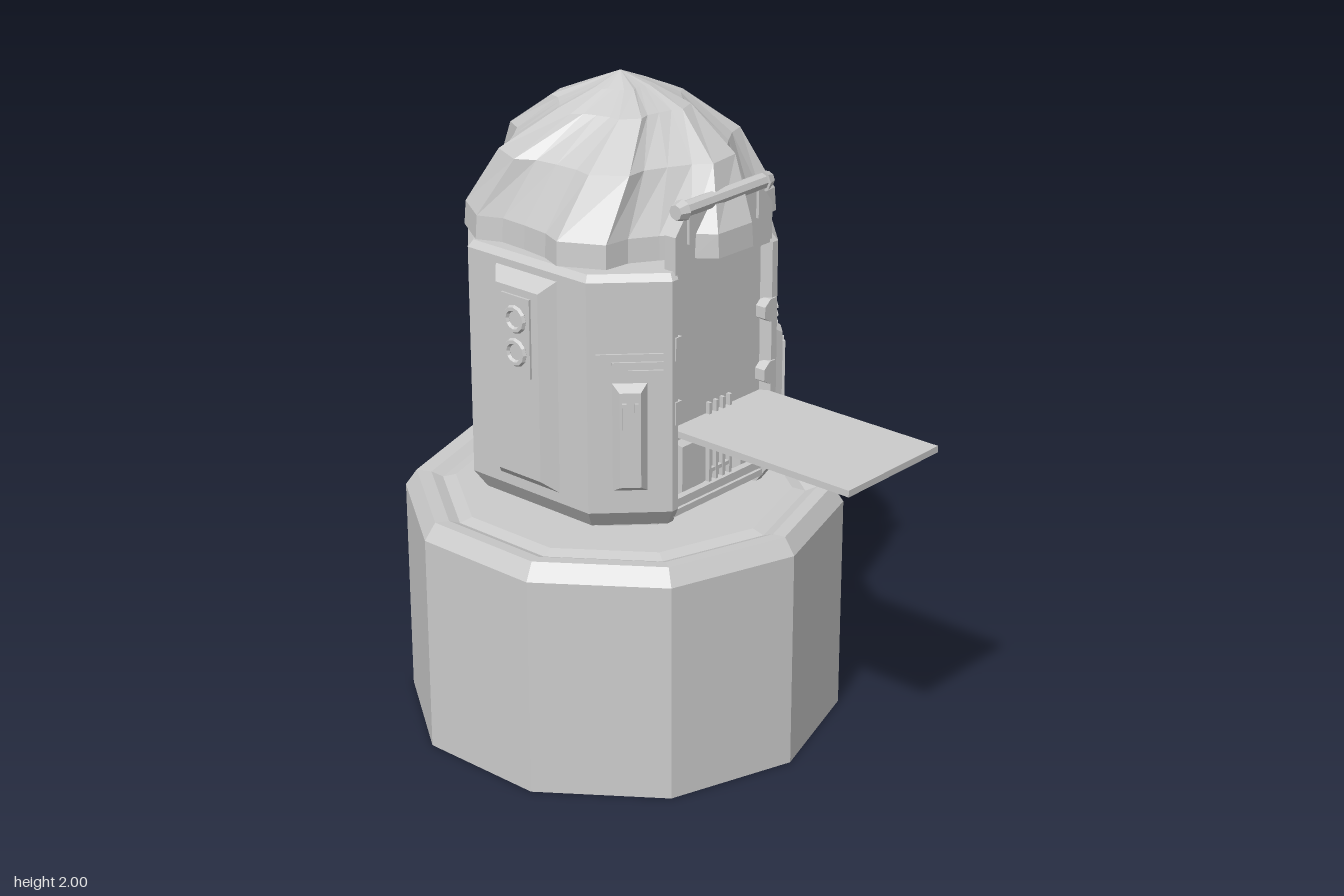
import * as THREE from 'three';

const mat = new THREE.MeshStandardMaterial({ color: 0xcccccc, flatShading: true, side: THREE.DoubleSide });
const CZ = -0.175; // axis of the tower

// Skin a stack of equal-length rings (counter-clockwise from above), with fan caps
function loft(rings) {
  const pos = [];
  const n = rings[0].length;
  const tri = (...pts) => pts.forEach((p) => pos.push(...p));
  for (let k = 0; k < rings.length - 1; k++) {
    const a = rings[k], b = rings[k + 1];
    for (let i = 0; i < n; i++) {
      const j = (i + 1) % n;
      tri(a[i], a[j], b[j]);
      tri(a[i], b[j], b[i]);
    }
  }
  const bottom = rings[0], top = rings[rings.length - 1];
  for (let i = 0; i < n; i++) {
    const j = (i + 1) % n;
    tri([0, bottom[0][1], 0], bottom[j], bottom[i]);
    tri([0, top[0][1], 0], top[i], top[j]);
  }
  const g = new THREE.BufferGeometry();
  g.setAttribute('position', new THREE.Float32BufferAttribute(pos, 3));
  g.computeVertexNormals();
  return g;
}

function add(parent, name, geo, x = 0, y = 0, z = 0) {
  const m = new THREE.Mesh(geo, mat);
  m.name = name;
  m.position.set(x, y, z);
  parent.add(m);
  return m;
}

const box = (parent, name, w, h, d, x, y, z) => add(parent, name, new THREE.BoxGeometry(w, h, d), x, y, z);

// Raised plate with bevelled edges, facing +z
function bevelPlate(w, h, depth, bevel) {
  const rect = (a, b, d) => [[a, d, b], [a, d, -b], [-a, d, -b], [-a, d, b]];
  return loft([rect(w, h, 0), rect(w - bevel, h - bevel, depth)]).rotateX(Math.PI / 2);
}

// Square with cut corners and a shallow recess in the front
function octagon(h, y, recess = 0) {
  const c = h * 0.575;
  return [[h, c], [h, -c], [c, -h], [-c, -h], [-h, -c], [-h, c], [-c, h],
    [-h * 0.515, h], [-h * 0.47, h - recess], [h * 0.47, h - recess], [h * 0.515, h], [c, h]]
    .map(([x, z]) => [x, y, z]);
}

// Group turned to face one side of the tower
function side(parent, name, angle) {
  const g = new THREE.Group();
  g.name = name;
  g.rotation.y = angle;
  parent.add(g);
  return g;
}

// Swirled roof: six folds that twist towards the apex
function roofGeometry() {
  const levels = [[0.455, 1.56, 0], [0.45, 1.63, 0], [0.36, 1.8, 9], [0.205, 1.915, 22], [0.09, 1.965, 30], [0.002, 2, 34]];
  const fold = [[-9, 1], [9, 1], [17, 0.88], [30, 0.86], [43, 0.9]];
  return loft(levels.map(([r, y, twist]) => {
    const ring = [];
    for (let k = 0; k < 6; k++) {
      for (const [offset, f] of fold) {
        const a = THREE.MathUtils.degToRad(k * 60 + 28 + offset + twist);
        ring.push([Math.cos(a) * r * f, y, -Math.sin(a) * r * f]);
      }
    }
    return ring;
  }));
}

export function createModel() {
  const model = new THREE.Group();
  model.name = 'domedTower';
  const tower = new THREE.Group();
  tower.name = 'tower';
  tower.position.z = CZ;
  model.add(tower);

  // Ten-sided hollow pedestal with a stepped top
  const pedestal = [[0.665, 0], [0.665, 0.68], [0.63, 0.73], [0.585, 0.725], [0.55, 0.71], [0.51, 0.72], [0, 0.72]];
  add(tower, 'pedestal', new THREE.LatheGeometry(pedestal.map(([x, y]) => new THREE.Vector2(x, y)), 10));

  // Necks, body and roof
  add(tower, 'lowerNeck', loft([octagon(0.285, 0.71), octagon(0.285, 0.78)]));
  add(tower, 'body', loft([octagon(0.365, 0.765, 0.03), octagon(0.4, 0.82, 0.03),
    octagon(0.4, 1.52, 0.03), octagon(0.385, 1.54, 0.03)]));
  add(tower, 'upperNeck', loft([octagon(0.29, 1.53), octagon(0.29, 1.57)]));
  add(tower, 'roof', roofGeometry());

  // Bevelled panels on the back and both sides
  for (const [name, angle, w] of [['backPanel', Math.PI, 0.2], ['rightPanel', Math.PI / 2, 0.12], ['leftPanel', -Math.PI / 2, 0.12]]) {
    const g = side(tower, name, angle);
    add(g, name + 'Plate', bevelPlate(w, 0.325, 0.042, 0.038), 0, 1.175, 0.398);
    if (name === 'leftPanel') {
      // Control plate with two round sockets
      box(g, 'controlPlate', 0.11, 0.24, 0.01, 0, 1.32, 0.442);
      for (const y of [1.27, 1.37]) add(g, 'socket', new THREE.TorusGeometry(0.033, 0.01, 6, 12), 0, y, 0.448);
    }
  }

  // Slatted windows and trim lines on the front corners
  for (const s of [-1, 1]) {
    const g = side(tower, s > 0 ? 'frontCornerRight' : 'frontCornerLeft', s * Math.PI / 4);
    add(g, 'windowFrame', bevelPlate(0.05, 0.165, 0.028, 0.02), 0, 1.055, 0.445);
    for (const x of [-0.017, 0.017]) box(g, 'windowSlat', 0.012, 0.22, 0.012, x, 1.06, 0.476);
    for (let i = 0; i < 3; i++) {
      const w = 0.19 - i * 0.045;
      box(g, 'trimLine', w, 0.008, 0.008, -s * (0.095 - w / 2), 1.305 - i * 0.025, 0.448);
    }
  }

  const front = side(model, 'entrance', 0);

  // Raised gable above the door, with clipped top corners
  const gable = new THREE.Shape([[-0.21, 1.52], [0.21, 1.52], [0.21, 1.64], [0.17, 1.69], [-0.17, 1.69], [-0.21, 1.64]]
    .map(([x, y]) => new THREE.Vector2(x, y)));
  add(front, 'gable', new THREE.ExtrudeGeometry(gable, { depth: 0.04, bevelEnabled: false }), 0, 0, 0.178);

  // Roller bar and its end knobs
  add(front, 'rollerBar', new THREE.CylinderGeometry(0.024, 0.024, 0.35, 8).rotateZ(Math.PI / 2), 0, 1.71, 0.21);
  for (const s of [-1, 1]) {
    add(front, 'barKnob', new THREE.CylinderGeometry(0.022, 0.032, 0.03, 8).rotateZ(-s * Math.PI / 2), s * 0.187, 1.71, 0.21);
    box(front, 'barBracket', 0.025, 0.09, 0.025, s * 0.15, 1.655, 0.215);

    // Latch tabs on the door edges, and lower lockers
    for (const y of [1.12, 1.315]) {
      const tab = new THREE.Shape([[0.22, 0.035], [0.195, 0.035], [0.17, 0.015], [0.17, -0.02], [0.195, -0.035], [0.22, -0.035]]
        .map(([x, v]) => new THREE.Vector2(s * x, v)));
      add(front, 'latchTab', new THREE.ExtrudeGeometry(tab, { depth: 0.04, bevelEnabled: false }), 0, y, 0.19);
    }
    add(front, 'locker', bevelPlate(0.062, 0.085, 0.022, 0.015), s * 0.13, 0.93, 0.194);
  }

  // Ladder-like grille under the ramp
  for (const x of [-0.045, -0.015, 0.015, 0.045]) box(front, 'grilleBar', 0.01, 0.25, 0.018, x, 0.97, 0.2);
  for (const y of [0.88, 0.99]) box(front, 'grilleRung', 0.1, 0.012, 0.014, 0, y, 0.2);

  // Sill and lowered ramp
  box(front, 'sill', 0.4, 0.025, 0.04, 0, 0.835, 0.2);
  box(front, 'lowerSill', 0.4, 0.02, 0.04, 0, 0.795, 0.185);
  box(front, 'ramp', 0.405, 0.02, 0.64, 0, 1.05, 0.515);

  return model;
}
